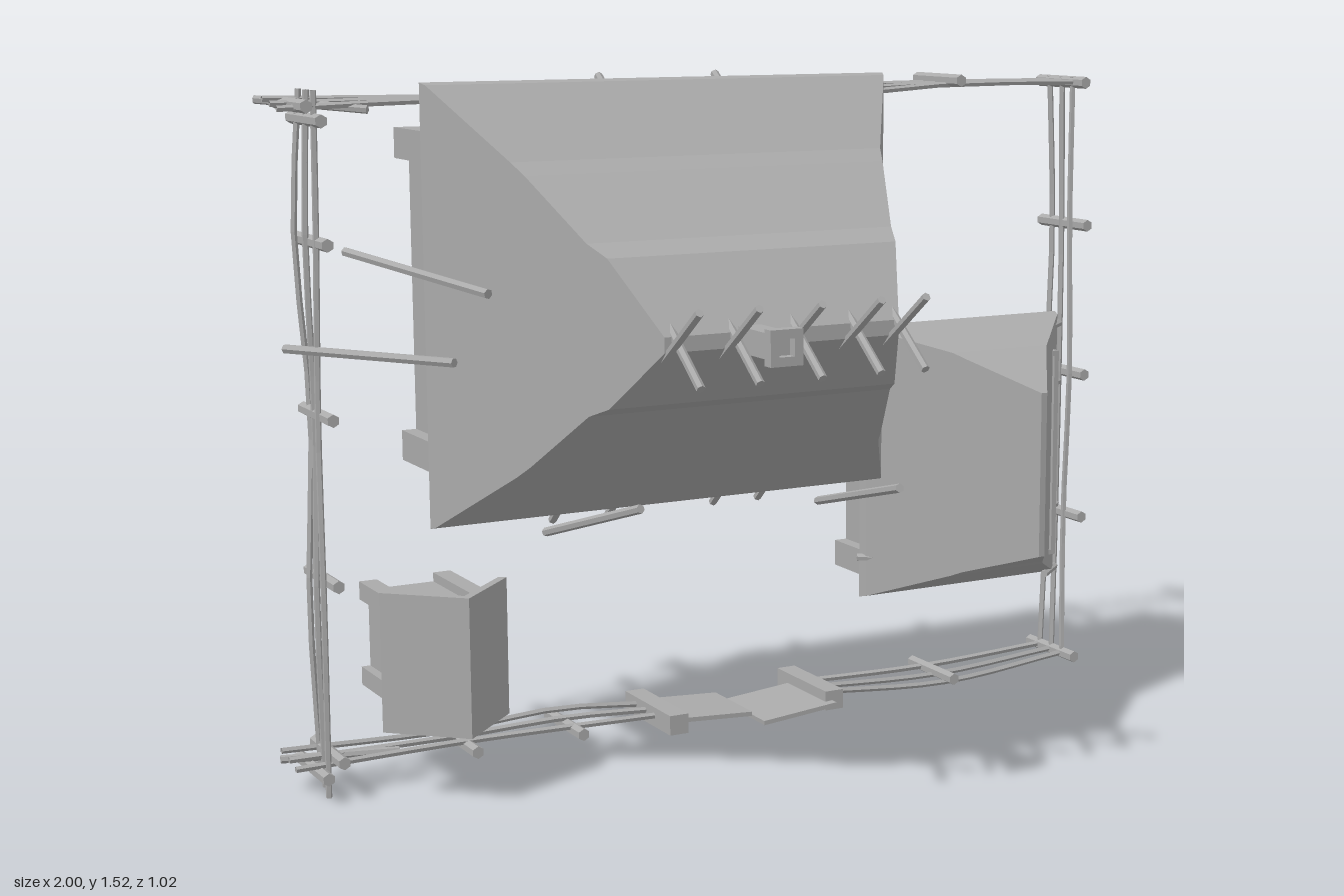
import * as THREE from 'three';

const V = (x, y, z) => new THREE.Vector3(x, y, z);

export function createModel() {
  const root = new THREE.Group();
  const grey = new THREE.MeshStandardMaterial({ color: 0xaaaaaa, flatShading: true, side: THREE.DoubleSide });
  grey.name = 'stone grey';

  function add(parent, name, geo) {
    const m = new THREE.Mesh(geo, grey);
    m.name = name;
    parent.add(m);
    return m;
  }
  function group(name) {
    const g = new THREE.Group();
    g.name = name;
    root.add(g);
    return g;
  }
  // box given by its extents
  function box(parent, name, x0, x1, y0, y1, z0, z1) {
    const m = add(parent, name, new THREE.BoxGeometry(x1 - x0, y1 - y0, z1 - z0));
    m.position.set((x0 + x1) / 2, (y0 + y1) / 2, (z0 + z1) / 2);
    return m;
  }
  // straight pole between two points
  function stick(parent, name, a, b, r = 0.009) {
    const m = add(parent, name, new THREE.CylinderGeometry(r, r, a.distanceTo(b), 6));
    m.position.copy(a).add(b).multiplyScalar(0.5);
    m.quaternion.setFromUnitVectors(V(0, 1, 0), b.clone().sub(a).normalize());
    return m;
  }
  // slightly crooked rail through a few points
  const rail = (parent, pts) =>
    add(parent, 'rail', new THREE.TubeGeometry(new THREE.CatmullRomCurve3(pts), 10, 0.007, 5));

  // hipped roof shell: rings of [z, x0, x1, y0, y1] from eave to ridge
  function hipRoof(parent, rings) {
    const pos = [], idx = [];
    rings.forEach(([z, x0, x1, y0, y1]) => pos.push(x0, y0, z, x1, y0, z, x1, y1, z, x0, y1, z));
    for (let k = 0; k < rings.length - 1; k++)
      for (let i = 0; i < 4; i++) {
        const a = k * 4 + i, b = k * 4 + (i + 1) % 4;
        idx.push(a, b, b + 4, a, b + 4, a + 4);
      }
    const t = (rings.length - 1) * 4;
    idx.push(t, t + 1, t + 2, t, t + 2, t + 3);
    const g = new THREE.BufferGeometry();
    g.setAttribute('position', new THREE.Float32BufferAttribute(pos, 3));
    g.setIndex(idx);
    const flat = g.toNonIndexed();
    flat.computeVertexNormals();
    add(parent, 'roof', flat);
  }
  // four open walls with a log post on each corner
  function walls(parent, x0, x1, y0, y1, z1, postTop, p) {
    const t = 0.012, z0 = -0.51;
    box(parent, 'wall', x0, x0 + t, y0, y1, z0, z1);
    box(parent, 'wall', x1 - t, x1, y0, y1, z0, z1);
    box(parent, 'wall', x0, x1, y0, y0 + t, z0, z1);
    box(parent, 'wall', x0, x1, y1 - t, y1, z0, z1);
    for (const x of [x0, x1]) for (const y of [y0, y1])
      box(parent, 'cornerPost', x - p / 2, x + p / 2, y - p / 2, y + p / 2, z0, postTop);
  }

  // Main house
  const house = group('mainHouse');
  walls(house, -0.65, 0.2, 0.72, 1.37, -0.02, -0.1, 0.065);
  hipRoof(house, [
    [-0.165, -0.725, 0.28, 0.64, 1.48], [-0.16, -0.757, 0.31, 0.61, 1.51], [-0.145, -0.75, 0.305, 0.615, 1.505],
    [0.015, -0.64, 0.2, 0.735, 1.36], [0.05, -0.625, 0.185, 0.76, 1.335], [0.2, -0.565, 0.115, 0.88, 1.215],
    [0.25, -0.545, 0.095, 0.9, 1.19], [0.37, -0.485, 0.03, 1.02, 1.05],
  ]);
  // crossed sticks over the ridge
  for (const x of [-0.475, -0.35, -0.215, -0.085, 0.015]) {
    stick(house, 'ridgeStick', V(x, 1.11, 0.495), V(x, 0.99, 0.33));
    stick(house, 'ridgeStick', V(x + 0.012, 0.965, 0.475), V(x + 0.012, 1.07, 0.34));
  }
  // chimney with an open cap
  box(house, 'chimney', -0.325, -0.275, 1.01, 1.06, 0.3, 0.49);
  for (const s of [-1, 1]) {
    box(house, 'chimneyCap', -0.3 + s * 0.026 - 0.009, -0.3 + s * 0.026 + 0.009, 1.0, 1.07, 0.485, 0.51);
    box(house, 'chimneyCap', -0.335, -0.265, 1.035 + s * 0.026 - 0.009, 1.035 + s * 0.026 + 0.009, 0.485, 0.51);
  }
  // poles poking out under the eaves
  for (const x of [-0.35, -0.08]) stick(house, 'eavePole', V(x, 1.515, -0.2), V(x, 1.44, -0.1));
  for (const x of [-0.47, -0.34, -0.09, 0.02]) stick(house, 'eavePole', V(x, 0.59, -0.2), V(x, 0.68, -0.1));
  stick(house, 'prop', V(0.19, 0.65, 0.12), V(0.26, 0.53, -0.35), 0.01);
  stick(house, 'prop', V(-0.36, 0.64, 0), V(-0.42, 0.53, -0.35), 0.01);
  stick(house, 'prop', V(-0.735, 1.12, 0.12), V(-0.86, 1.165, -0.33), 0.01);
  stick(house, 'prop', V(-0.74, 0.965, -0.05), V(-0.955, 0.957, -0.45), 0.01);

  // door and window in the long wall: plate, frame bars and a ribbed shutter
  function opening(parent, name, w, h) {
    const g = new THREE.Group();
    g.name = name;
    parent.add(g);
    box(g, 'pane', -w / 2, w / 2, -h / 2, h / 2, -0.02, 0.02);
    for (const s of [-1, 1]) {
      box(g, 'frame', -w / 2 - 0.015, w / 2 + 0.015, s * h / 2 - 0.012, s * h / 2 + 0.012, -0.03, 0.035);
      box(g, 'frame', s * w / 2 - 0.012, s * w / 2 + 0.012, -h / 2, h / 2, -0.03, 0.035);
    }
    return g;
  }
  const door = opening(house, 'door', 0.18, 0.16);
  door.rotation.x = Math.PI / 2;
  door.position.set(-0.06, 0.72, -0.4);
  for (let i = 0; i < 3; i++)
    box(house, 'doorPlank', -0.06, 0.12, 0.64 + i * 0.028, 0.662 + i * 0.028, -0.475, -0.455);
  const win = opening(house, 'window', 0.1, 0.08);
  win.rotation.x = Math.PI / 2;
  win.position.set(-0.37, 0.72, -0.3);

  // Small house
  const cottage = group('smallHouse');
  walls(cottage, 0.43, 0.85, 0.36, 0.85, -0.24, -0.31, 0.06);
  hipRoof(cottage, [
    [-0.335, 0.38, 0.88, 0.315, 0.91], [-0.33, 0.36, 0.9, 0.295, 0.93], [-0.31, 0.367, 0.893, 0.3, 0.925],
    [-0.155, 0.5, 0.755, 0.365, 0.88], [-0.135, 0.515, 0.74, 0.375, 0.87], [0, 0.635, 0.65, 0.425, 0.8],
  ]);
  for (const y of [0.39, 0.59, 0.68]) stick(cottage, 'eavePole', V(0.355, y, -0.33), V(0.42, y, -0.27));
  for (const y of [0.305, 0.46, 0.76, 0.9]) stick(cottage, 'eavePole', V(0.912, y, -0.33), V(0.84, y, -0.27));
  const cwin = opening(cottage, 'window', 0.1, 0.15);
  cwin.rotation.y = -Math.PI / 2;
  cwin.position.set(0.43, 0.63, -0.42);
  for (let i = 0; i < 3; i++)
    box(cottage, 'shutter', 0.35 + i * 0.025, 0.37 + i * 0.025, 0.55, 0.71, -0.485, -0.47);

  // Shed with a gable roof
  const shed = group('shed');
  walls(shed, -0.77, -0.6, 0.22, 0.41, -0.25, -0.29, 0.04);
  const gable = new THREE.Shape();
  gable.moveTo(-0.145, 0);
  gable.lineTo(0, 0.135);
  gable.lineTo(0.14, 0);
  gable.lineTo(0.125, -0.01);
  gable.lineTo(0, 0.11);
  gable.lineTo(-0.13, -0.01);
  const shedRoof = add(shed, 'roof', new THREE.ExtrudeGeometry(gable, { depth: 0.3, bevelEnabled: false }));
  shedRoof.rotation.x = Math.PI / 2;
  shedRoof.position.set(-0.685, 0.46, -0.275);
  shedRoof.scale.y = 1;

  // Fence around the yard
  const fence = group('fence');
  [-0.37, -0.415, -0.465].forEach((z, i) => {
    const w = (i - 1) * 0.008;
    rail(fence, [V(-0.98, 1.462 + w, z), V(-0.6, 1.465, z + 0.015), V(0.3, 1.46 + w, z - 0.01), V(0.62, 1.47, z), V(0.98, 1.468, z + 0.01)]);
    rail(fence, [V(-0.912 + w, 0.005 + i * 0.01, z), V(-0.92, 0.42, z + 0.01), V(-0.905 + w, 0.8, z - 0.01), V(-0.915 - w, 1.2, z), V(-0.905, 1.49, z + 0.005)]);
    rail(fence, [V(0.968, 0.06, z), V(0.98 + w, 0.42, z - 0.01), V(0.968, 0.78, z + 0.01), V(0.975 + w, 1.13, z), V(0.968, 1.48, z)]);
    rail(fence, [V(-0.99, 0.085 + w, z), V(-0.6, 0.078, z - 0.01), V(-0.35, 0.085 + w, z), V(-0.12, 0.075, z + 0.01)]);
    rail(fence, [V(0.27, 0.068, z), V(0.62, 0.055 + w, z + 0.01), V(0.97, 0.072, z)]);
  });
  const posts = [[-0.59, 1.478], [-0.2, 1.478], [0.25, 1.475], [0.62, 1.48], [0.97, 1.468], [-0.935, 1.46], [-0.905, 1.43],
    [-0.6, 0.068], [-0.35, 0.07], [0.62, 0.062], [0.97, 0.07], [-0.935, 0.06], [-0.9, 0.09]];
  for (const y of [0.42, 0.77, 1.13]) posts.push([0.983, y], [-0.9, y + 0.05]);
  for (const [x, y] of posts) stick(fence, 'post', V(x, y, -0.51), V(x, y, -0.32), 0.014);
  // loose poles by the left corner
  stick(fence, 'loosePole', V(-0.985, 1.468, -0.5), V(-0.8, 1.45, -0.34));
  stick(fence, 'loosePole', V(-1, 0.082, -0.44), V(-0.75, 0.075, -0.4));

  // Gate with two leaves
  const gate = group('gate');
  for (const x of [-0.135, 0.265]) box(gate, 'gatePost', x - 0.023, x + 0.023, 0.05, 0.095, -0.51, -0.28);
  const leafA = box(gate, 'gateLeaf', -0.12, 0.06, 0.064, 0.074, -0.48, -0.3);
  leafA.rotation.z = -0.06;
  const leafB = box(gate, 'gateLeaf', 0.07, 0.26, 0.054, 0.064, -0.46, -0.26);
  leafB.rotation.z = 0.09;

  return root;
}
